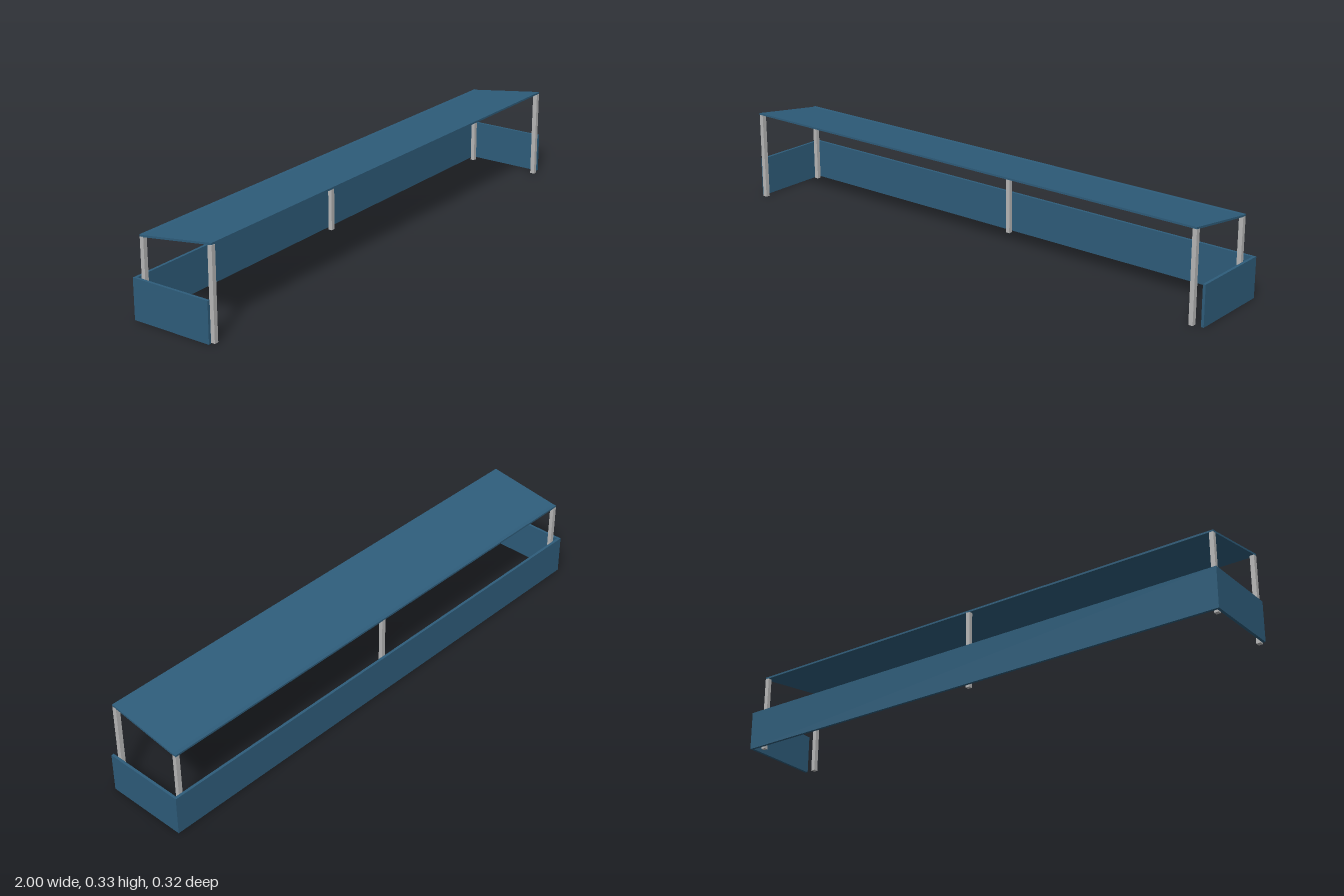
import * as THREE from 'three';

export function createModel() {
  const model = new THREE.Group();
  const blue = new THREE.MeshStandardMaterial({ color: 0x2e5d7b });
  blue.name = 'blue panel';
  const grey = new THREE.MeshStandardMaterial({ color: 0xb8b8b8 });
  grey.name = 'grey metal';

  // Box given by its lower and upper corners
  function box(name, material, [x0, y0, z0], [x1, y1, z1]) {
    const mesh = new THREE.Mesh(new THREE.BoxGeometry(x1 - x0, y1 - y0, z1 - z0), material);
    mesh.position.set((x0 + x1) / 2, (y0 + y1) / 2, (z0 + z1) / 2);
    mesh.name = name;
    model.add(mesh);
  }

  // Low walls around the back and both ends
  const wallTop = 0.147, thick = 0.01;
  box('backWall', blue, [-1, 0, -0.16], [1, wallTop, -0.16 + thick]);
  box('rightWall', blue, [-1, 0, -0.16 + thick], [-1 + thick, wallTop, 0.149]);
  box('leftWall', blue, [1 - thick, 0, -0.16 + thick], [1, wallTop, 0.149]);

  // Sloping roof, levelled where it rests on the back posts
  const profile = new THREE.Shape([
    [-0.16, 0.327], [0.122, 0.287], [0.136, 0.287],
    [0.136, 0.294], [0.122, 0.294], [-0.16, 0.334],
  ].map(([x, y]) => new THREE.Vector2(x, y)));
  const roofGeometry = new THREE.ExtrudeGeometry(profile, { depth: 1.951, bevelEnabled: false });
  roofGeometry.rotateY(Math.PI / 2); // profile x becomes -z, depth becomes x
  const roof = new THREE.Mesh(roofGeometry, blue);
  roof.position.x = -0.985;
  roof.name = 'roof';
  model.add(roof);

  // Square posts: two tall ones in front, three shorter ones behind
  const half = 0.008;
  for (const x of [-0.977, 0.958]) {
    box('frontPost', grey, [x - half, 0, 0.143], [x + half, 0.326, 0.16]);
  }
  for (const x of [-0.977, -0.004, 0.958]) {
    box('backPost', grey, [x - half, 0, -0.136], [x + half, 0.288, -0.121]);
  }
  return model;
}
